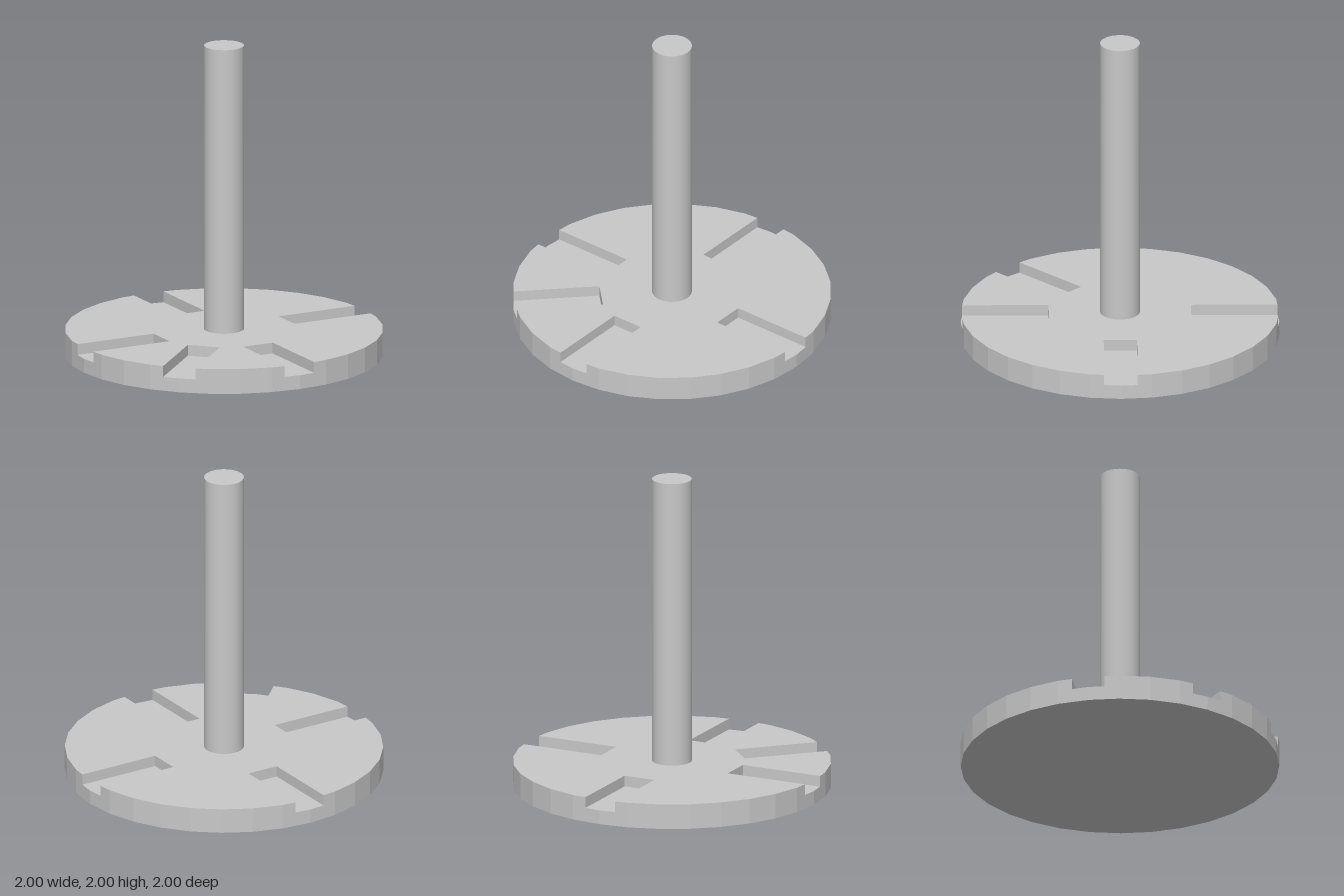
import * as THREE from 'three';

const SIDES = 32;
const SLOT_STEPS = [0, 8, 16, 20, 24]; // four square slots and one diagonal slot
const SLOT_HALF = 0.105, SLOT_INNER = 0.447;
const FLOOR = 0.09, TOP = 0.16;

// 32-sided outline, optionally notched by the radial slots
function discShape(slots) {
  const points = [];
  for (let k = 0; k < SIDES; k++) {
    const a = (k / SIDES) * Math.PI * 2;
    const at = (r, side) => points.push(new THREE.Vector2(
      r * Math.cos(a) - side * Math.sin(a),
      r * Math.sin(a) + side * Math.cos(a)));
    if (slots.includes(k)) {
      const rim = 1 - SLOT_HALF * Math.tan(Math.PI / SIDES);
      at(rim, -SLOT_HALF);
      at(SLOT_INNER, -SLOT_HALF);
      at(SLOT_INNER, SLOT_HALF);
      at(rim, SLOT_HALF);
    } else {
      at(1, 0);
    }
  }
  return new THREE.Shape(points);
}

function slab(name, slots, y0, y1, material) {
  const geometry = new THREE.ExtrudeGeometry(discShape(slots), { depth: y1 - y0, bevelEnabled: false });
  geometry.rotateX(-Math.PI / 2).translate(0, y0, 0);
  const mesh = new THREE.Mesh(geometry, material);
  mesh.name = name;
  return mesh;
}

export function createModel() {
  const model = new THREE.Group();
  model.name = 'slottedDiscOnShaft';
  const metal = new THREE.MeshStandardMaterial({ color: 0xc8c8c8 });
  metal.name = 'grey metal';

  // Disc: solid base below the slot floors, notched layer above
  model.add(slab('discBase', [], 0, FLOOR, metal));
  model.add(slab('slottedDiscTop', SLOT_STEPS, FLOOR, TOP, metal));

  // Smooth upright shaft
  const shaft = new THREE.Mesh(new THREE.CylinderGeometry(0.125, 0.125, 2 - TOP, 32), metal);
  shaft.position.y = (2 + TOP) / 2;
  shaft.name = 'shaft';
  model.add(shaft);

  return model;
}
